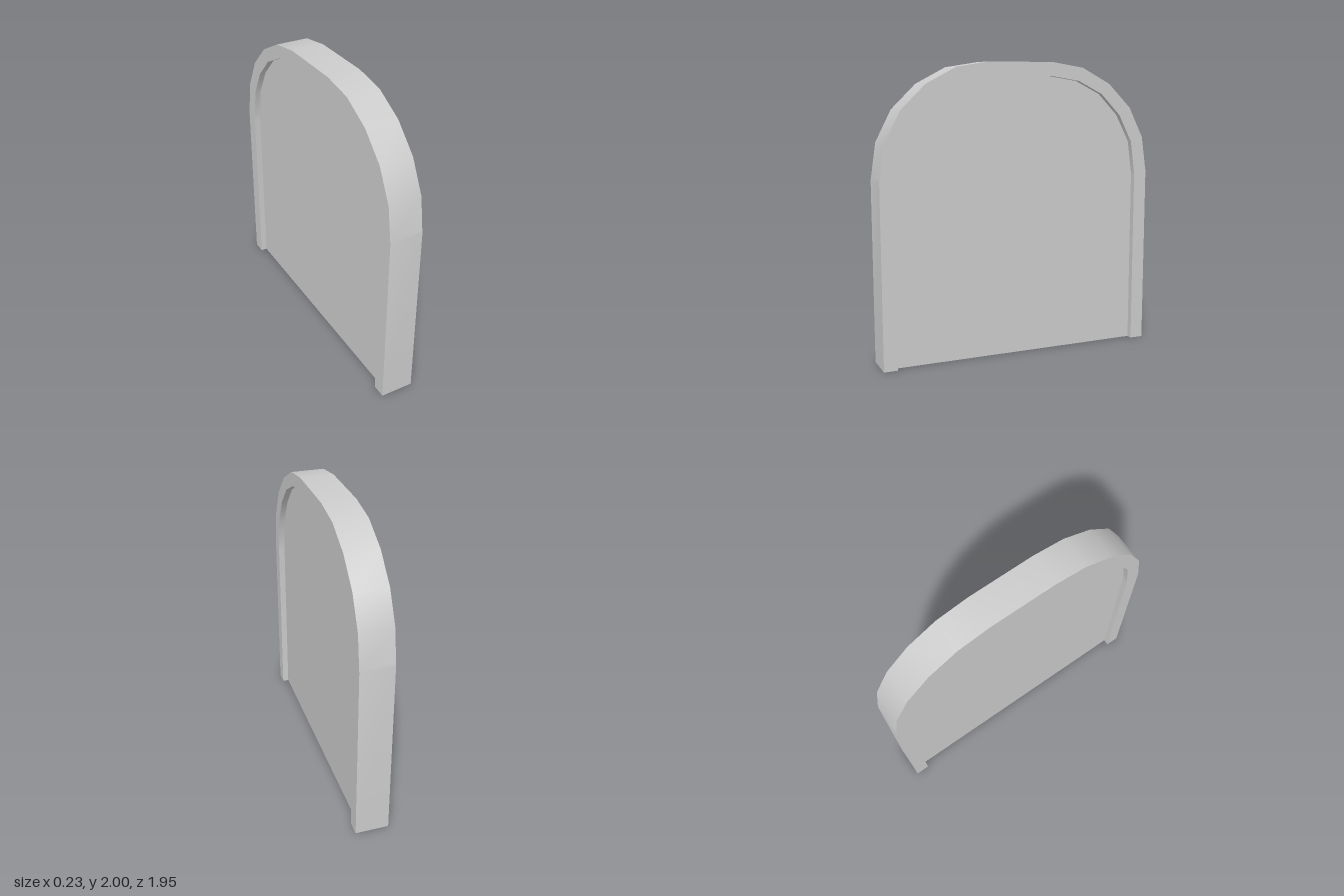
import * as THREE from 'three';
import { toCreasedNormals } from 'three/addons/utils/BufferGeometryUtils.js';

// Half profiles [z, y] from the foot up to the flat crown; the short segment
// under the spring line keeps the legs flat-shaded.
const OUTER = [[0.977, 0], [0.977, 1.24], [0.973, 1.26], [0.94, 1.48], [0.833, 1.69], [0.665, 1.855], [0.457, 1.964], [0.23, 2]];
const INNER = [[0.883, 0], [0.883, 1.21], [0.881, 1.23], [0.85, 1.45], [0.752, 1.637], [0.607, 1.785], [0.427, 1.875], [0.225, 1.907]];

// Mirror a half profile into a full arch outline
function arch(half) {
  const mirrored = half.map(([z, y]) => [-z, y]).reverse();
  return [...half, ...mirrored].map(([z, y]) => new THREE.Vector2(z, y));
}

// Extrude an outline symmetrically across the thickness (x)
function slab(name, points, thickness, material) {
  const geometry = new THREE.ExtrudeGeometry(new THREE.Shape(points), { depth: thickness, bevelEnabled: false });
  geometry.translate(0, 0, -thickness / 2);
  geometry.rotateY(Math.PI / 2);
  const mesh = new THREE.Mesh(toCreasedNormals(geometry, THREE.MathUtils.degToRad(30)), material);
  mesh.name = name;
  return mesh;
}

export function createModel() {
  const group = new THREE.Group();
  group.name = 'archedPanel';
  const material = new THREE.MeshStandardMaterial({ color: 0xcccccc });

  // Raised rim, open at the bottom
  group.add(slab('archFrame', [...arch(OUTER), ...arch(INNER).reverse()], 0.226, material));
  // Panel recessed on both faces
  group.add(slab('panel', arch(INNER), 0.14, material));
  return group;
}
